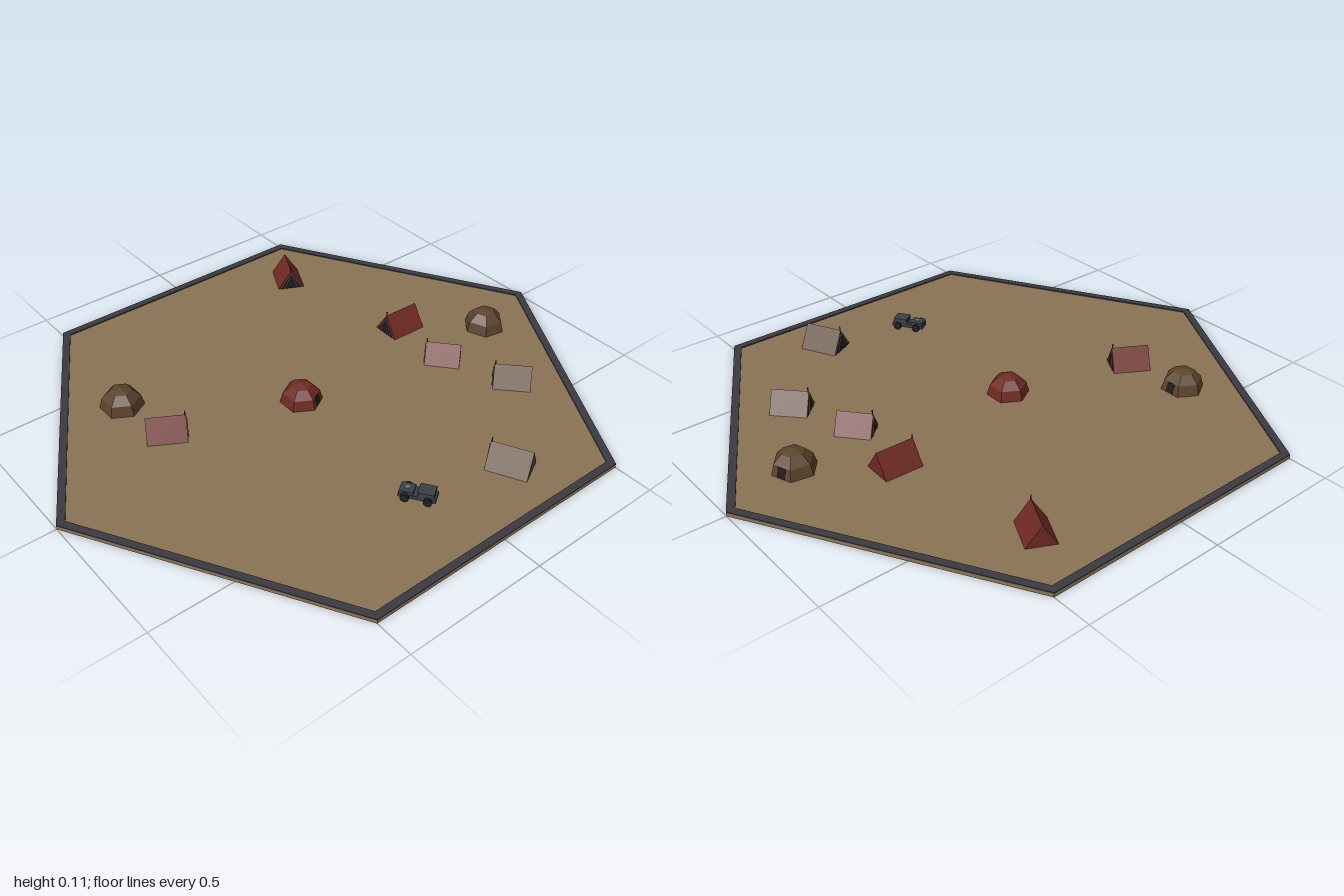
import * as THREE from 'three';

const mat = (name, color, extra = {}) => {
  const m = new THREE.MeshStandardMaterial({ color, flatShading: true, ...extra });
  m.name = name;
  return m;
};

export function createModel() {
  const M = {
    sand: mat('sand', 0x8b7355),
    border: mat('border', 0x3a3a40),
    red: mat('redCanvas', 0x6e2a22),
    brown: mat('brownCanvas', 0x5c432c),
    dark: mat('darkOpening', 0x1c1c20, { side: THREE.DoubleSide }),
    pole: mat('pole', 0x77777a),
    body: mat('vehicleBody', 0x3a4048),
    tyre: mat('tyre', 0x202024),
  };
  const root = new THREE.Group();
  root.name = 'campTile';
  const GROUND = 0.012;

  const add = (parent, name, geo, material, x = 0, y = 0, z = 0) => {
    const m = new THREE.Mesh(geo, material);
    m.name = name;
    m.position.set(x, y, z);
    parent.add(m);
    return m;
  };
  const group = (name, x, z, turn) => {
    const g = new THREE.Group();
    g.name = name;
    g.position.set(x, GROUND, z);
    g.rotation.y = turn;
    root.add(g);
    return g;
  };
  // Thin rod between two points
  const rod = (parent, name, a, b, r, material) => {
    const A = new THREE.Vector3(...a), B = new THREE.Vector3(...b);
    const dir = B.clone().sub(A);
    const m = add(parent, name, new THREE.CylinderGeometry(r, r, dir.length(), 6), material);
    m.position.copy(A).add(B).multiplyScalar(0.5);
    m.quaternion.setFromUnitVectors(new THREE.Vector3(0, 1, 0), dir.normalize());
  };
  const hexPoints = (r) => Array.from({ length: 6 }, (_, i) =>
    new THREE.Vector2(r * Math.cos(i * Math.PI / 3), r * Math.sin(i * Math.PI / 3)));
  const triangle = (halfWidth, height) => new THREE.Shape([
    new THREE.Vector2(-halfWidth, 0), new THREE.Vector2(halfWidth, 0), new THREE.Vector2(0, height)]);

  // Ground slab and raised rim
  const slab = new THREE.CylinderGeometry(1, 1, GROUND, 6);
  slab.rotateY(Math.PI / 6);
  add(root, 'ground', slab, M.sand, 0, GROUND / 2, 0);
  const rimShape = new THREE.Shape(hexPoints(1));
  rimShape.holes.push(new THREE.Path(hexPoints(0.97)));
  const rimGeo = new THREE.ExtrudeGeometry(rimShape, { depth: 0.004, bevelEnabled: false });
  rimGeo.rotateX(-Math.PI / 2);
  add(root, 'rim', rimGeo, M.border, 0, GROUND, 0);

  // Ridge tent, open end towards local +z
  function tent(x, z, dx, dz, s, canvas) {
    const g = group('ridgeTent', x, z, Math.atan2(dx, dz));
    const w = 0.052 * s, h = 0.078 * s, l = 0.068 * s;
    add(g, 'tentCanvas', new THREE.ExtrudeGeometry(triangle(w, h), { depth: 2 * l, bevelEnabled: false }),
      canvas, 0, 0, -l);
    add(g, 'tentOpening', new THREE.ShapeGeometry(triangle(w * 0.8, h * 0.84)), M.dark, 0, 0, l + 0.0008);
    for (const side of [-1, 1]) {
      rod(g, 'openingPole', [side * w * 0.5, 0, l + 0.002], [0, h * 0.86, l + 0.002], 0.0016, M.pole);
    }
    rod(g, 'ridgePole', [0, h * 0.8, l - 0.003], [0, h + 0.014, l - 0.003], 0.002, M.tyre);
  }
  tent(0.366, -0.643, -0.447, 0.894, 0.95, M.red);
  tent(-0.516, -0.148, 0.86, 0.5, 0.97, M.red);
  tent(0.484, -0.124, -1, -0.03, 1, M.red);
  tent(0.466, 0.12, -0.65, -0.76, 0.9, M.red);
  tent(0.558, 0.365, -0.68, -0.73, 0.94, M.brown);
  tent(0.238, 0.66, -0.447, -0.894, 1.02, M.brown);

  // Six-sided dome tent with a door on local +x
  function dome(x, z, turn, r, canvas) {
    const g = group('domeTent', x, z, turn);
    const shell = new THREE.SphereGeometry(r, 6, 3, 0, Math.PI * 2, 0, Math.PI / 2);
    shell.rotateY(Math.PI / 6);
    add(g, 'domeCanvas', shell, canvas);
    const door = add(g, 'domeDoor', new THREE.BoxGeometry(0.002, r * 0.46, r * 0.4), M.dark,
      r * 0.808, r * 0.25, 0);
    door.rotation.z = Math.atan(0.116 / 0.5);
  }
  dome(-0.065, -0.015, -Math.PI / 3, 0.073, M.red);
  dome(-0.55, -0.37, 0, 0.075, M.brown);
  dome(0.73, 0.065, 0.35, 0.075, M.brown);

  // Small buggy, bonnet towards local +z
  const car = group('buggy', -0.085, 0.582, Math.atan2(-0.55, -0.83));
  add(car, 'chassis', new THREE.BoxGeometry(0.046, 0.012, 0.118), M.body, 0, 0.016, 0);
  add(car, 'bonnet', new THREE.BoxGeometry(0.042, 0.012, 0.045), M.body, 0, 0.026, 0.034);
  add(car, 'cabin', new THREE.BoxGeometry(0.046, 0.02, 0.05), M.body, 0, 0.03, -0.028);
  add(car, 'bonnetHatch', new THREE.CylinderGeometry(0.008, 0.008, 0.003, 8), M.pole, 0, 0.033, 0.034);
  add(car, 'windscreen', new THREE.BoxGeometry(0.036, 0.006, 0.002), M.dark, 0, 0.036, -0.002);
  for (const sx of [-1, 1]) {
    for (const sz of [-1, 1]) {
      const geo = new THREE.CylinderGeometry(0.014, 0.014, 0.012, 10);
      geo.rotateZ(Math.PI / 2);
      add(car, 'wheel', geo, M.tyre, sx * 0.027, 0.014, sz * 0.036);
    }
  }
  return root;
}
